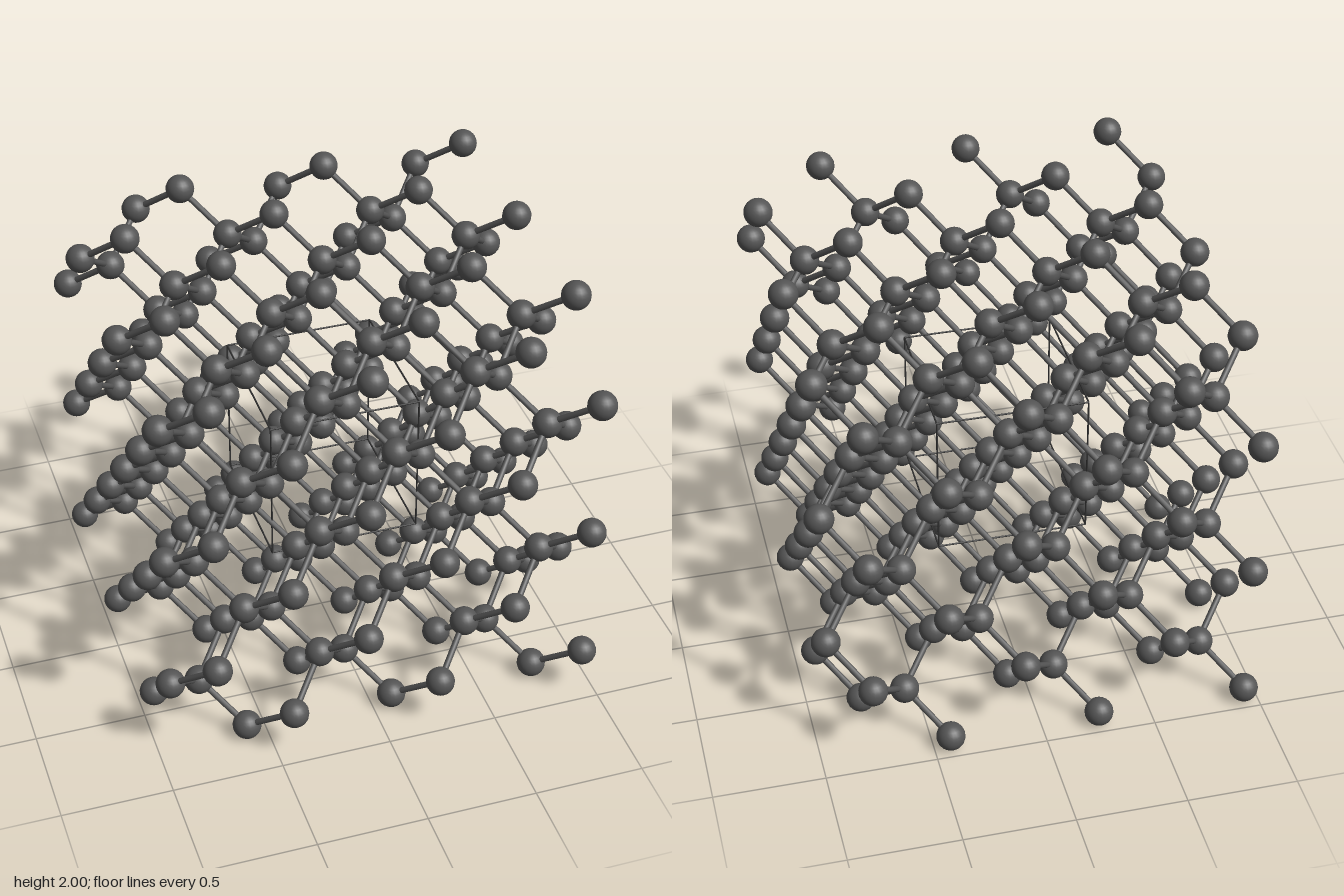
import * as THREE from 'three';
import { mergeGeometries } from 'three/addons/utils/BufferGeometryUtils.js';

const STEP = 0.17;          // quarter of a unit cell
const COUNT = 12;           // three cells of four steps along each axis
const ATOM_R = 0.065, BOND_R = 0.014, EDGE_R = 0.004, HALF_CELL = 0.34;

// Cylinder between two points
function rod(a, b, radius, sides) {
  const dir = b.clone().sub(a);
  const g = new THREE.CylinderGeometry(radius, radius, dir.length(), sides, 1, true);
  g.applyQuaternion(new THREE.Quaternion().setFromUnitVectors(
    new THREE.Vector3(0, 1, 0), dir.normalize()));
  const mid = a.clone().add(b).multiplyScalar(0.5);
  return g.translate(mid.x, mid.y, mid.z);
}

function part(name, geometries, color) {
  const mesh = new THREE.Mesh(mergeGeometries(geometries), new THREE.MeshStandardMaterial({ color }));
  mesh.name = name;
  return mesh;
}

// Grid index to position, centred at height 1
const site = (i, j, k) => new THREE.Vector3(i, j, k)
  .subScalar((COUNT - 1) / 2).multiplyScalar(STEP).add(new THREE.Vector3(0, 1, 0));

// Diamond lattice: all-even sites with sum 0 mod 4, all-odd sites with sum 3 mod 4
function isAtom(i, j, k) {
  if ([i, j, k].some(n => n < 0 || n >= COUNT)) return false;
  if (i % 2 !== j % 2 || j % 2 !== k % 2) return false;
  return (i + j + k) % 4 === (i % 2 ? 3 : 0);
}

export function createModel() {
  const model = new THREE.Group();
  model.name = 'diamondLattice';
  const atoms = [], bonds = [], edges = [];
  const directions = [[1, 1, 1], [1, -1, -1], [-1, 1, -1], [-1, -1, 1]];

  for (let i = 0; i < COUNT; i++)
    for (let j = 0; j < COUNT; j++)
      for (let k = 0; k < COUNT; k++) {
        if (!isAtom(i, j, k)) continue;
        const p = site(i, j, k);
        atoms.push(new THREE.SphereGeometry(ATOM_R, 20, 14).translate(p.x, p.y, p.z));
        // Each bond starts at an even site
        if (i % 2 === 0)
          for (const [a, b, c] of directions)
            if (isAtom(i + a, j + b, k + c))
              bonds.push(rod(p, site(i + a, j + b, k + c), BOND_R, 10));
      }

  // Outline of the central unit cell: four edges along each axis
  for (let axis = 0; axis < 3; axis++)
    for (const u of [-HALF_CELL, HALF_CELL])
      for (const v of [-HALF_CELL, HALF_CELL]) {
        const ends = [-HALF_CELL, HALF_CELL].map(w => {
          const p = new THREE.Vector3();
          p.setComponent(axis, w);
          p.setComponent((axis + 1) % 3, u);
          p.setComponent((axis + 2) % 3, v);
          p.y += 1;
          return p;
        });
        edges.push(rod(ends[0], ends[1], EDGE_R, 6));
      }

  model.add(part('atoms', atoms, 0x555555));
  model.add(part('bonds', bonds, 0x555555));
  model.add(part('unitCellOutline', edges, 0x333333));
  return model;
}
